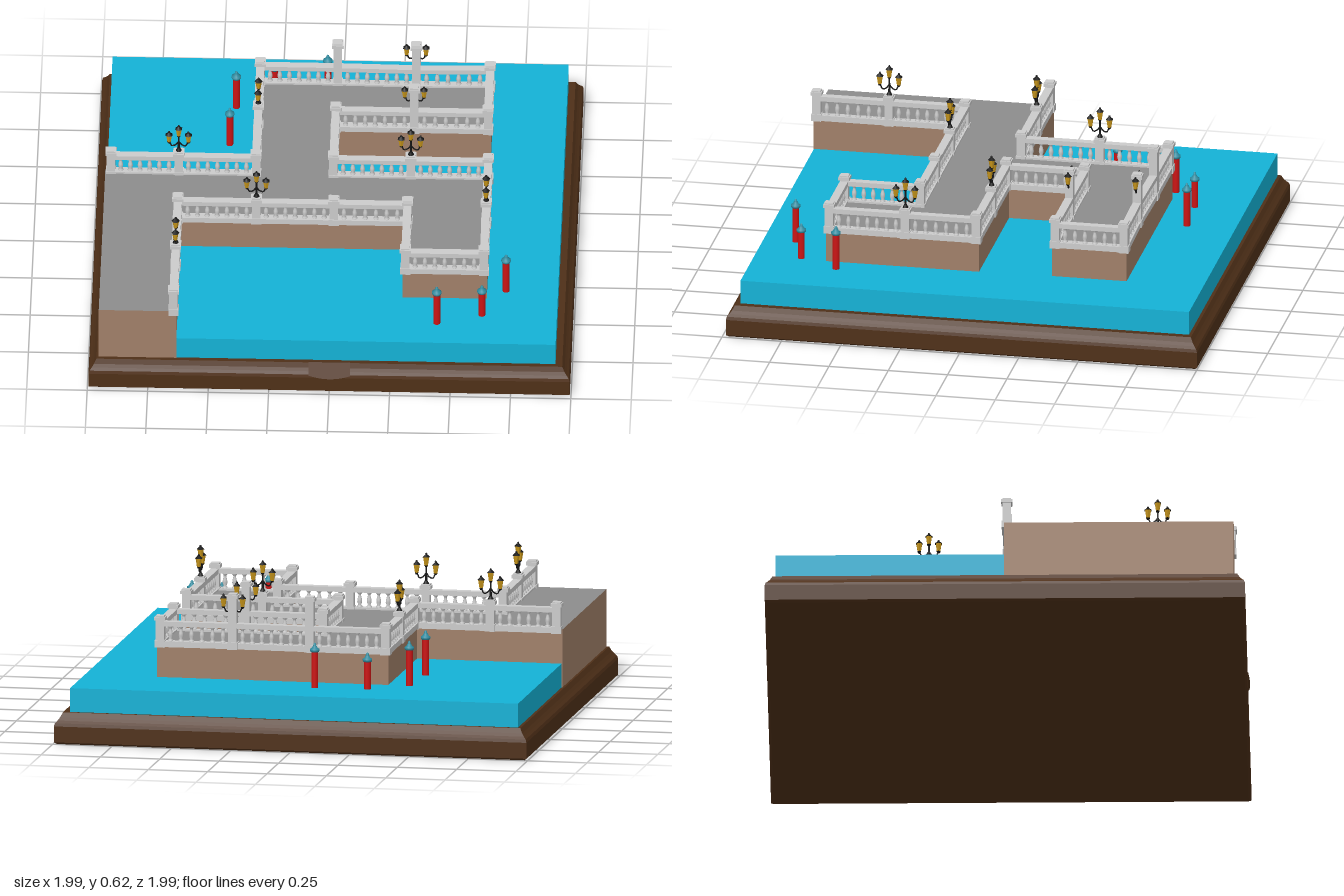
import * as THREE from 'three';

const mat = (color, opts = {}) => new THREE.MeshStandardMaterial({ color, ...opts });
const V = (x, y) => new THREE.Vector2(x, y);

export function createModel() {
  const model = new THREE.Group();
  const stone = mat(0xcccccc);
  const wood = mat(0x4f3018, { flatShading: true });
  const water = mat(0x14b2d6);
  const paving = mat(0x8c8c8c);
  const wall = mat(0xa08069);
  const iron = mat(0x151515);
  const gold = mat(0xc8961a, { flatShading: true });
  const red = mat(0xcc1414);
  const teal = mat(0x2f8ca0);

  const add = (parent, name, geometry, material, x = 0, y = 0, z = 0) => {
    const m = new THREE.Mesh(geometry, material);
    m.name = name;
    m.position.set(x, y, z);
    parent.add(m);
    return m;
  };
  const group = (name, parent = model) => {
    const g = new THREE.Group();
    g.name = name;
    parent.add(g);
    return g;
  };

  // Moulded square plinth: a four-sided lathe
  const profile = [[0, 0], [0.985, 0], [0.995, 0.008], [0.995, 0.075], [0.991, 0.088], [0.982, 0.098],
    [0.973, 0.11], [0.968, 0.12], [0.963, 0.13], [0, 0.13]].map(([r, y]) => V(r * Math.SQRT2, y));
  const plinth = add(model, 'plinth', new THREE.LatheGeometry(profile, 4, Math.PI / 4), wood, 0, 0, -0.0075);
  plinth.scale.z = 0.9975;

  // Blank plate leaning on the front moulding
  const plate = new THREE.Shape();
  plate.moveTo(-0.086, 0.073);
  plate.lineTo(-0.086, 0.016);
  plate.quadraticCurveTo(0, -0.012, 0.086, 0.016);
  plate.lineTo(0.086, 0.073);
  plate.closePath();
  add(model, 'frontPlate', new THREE.ExtrudeGeometry(plate, { depth: 0.012, bevelEnabled: false }),
    wood, 0, 0.067, 0.984).rotation.x = -0.5;

  // Water slab
  add(model, 'water', new THREE.BoxGeometry(1.886, 0.1, 1.89), water, -0.008, 0.18, -0.01);

  // Raised quay with paved top and earth-coloured walls
  const outline = [[-0.954, -0.012], [-0.342, -0.012], [-0.342, -0.632], [0.632, -0.632], [0.632, -0.318],
    [0.002, -0.318], [0.002, -0.012], [0.642, -0.012], [0.642, 0.632], [0.293, 0.632], [0.293, 0.312],
    [-0.633, 0.312], [-0.633, 0.938], [-0.954, 0.938]];
  const quay = new THREE.ExtrudeGeometry(new THREE.Shape(outline.map(([x, z]) => V(x, -z))),
    { depth: 0.243, bevelEnabled: false });
  quay.rotateX(-Math.PI / 2);
  add(model, 'quay', quay, [paving, wall], 0, 0.13, 0);

  // Balustrade: one path of posts, some tall, some carrying lamps along x or z
  const posts = [[-0.93, 0], [-0.65, 0, 'x'], [-0.33, 0], [-0.33, -0.33, 'z'], [-0.33, -0.62],
    [-0.01, -0.62, '', true], [0.315, -0.615, 'x', true], [0.62, -0.62], [0.62, -0.33], [0.315, -0.33, 'x', true],
    [-0.01, -0.33], [-0.01, 0], [0.31, 0, 'x'], [0.63, 0], [0.63, 0.3, 'z'], [0.63, 0.62], [0.305, 0.62],
    [0.305, 0.3], [0, 0.3], [-0.32, 0.3, 'x'], [-0.645, 0.3], [-0.645, 0.62, 'z'], [-0.645, 0.925]];
  const baluster = new THREE.LatheGeometry([[0.011, 0], [0.011, 0.006], [0.006, 0.011], [0.0105, 0.024],
    [0.009, 0.036], [0.0055, 0.05], [0.0065, 0.056], [0.011, 0.06], [0.011, 0.066]].map(p => V(...p)), 8);

  const balustrade = group('balustrade');
  for (let i = 0; i < posts.length - 1; i++) {
    const [x0, z0] = posts[i], [x1, z1] = posts[i + 1];
    const length = Math.hypot(x1 - x0, z1 - z0);
    const section = group('balustradeSection', balustrade);
    section.position.set((x0 + x1) / 2, 0, (z0 + z1) / 2);
    section.rotation.y = -Math.atan2(z1 - z0, x1 - x0);
    add(section, 'bottomRail', new THREE.BoxGeometry(length, 0.024, 0.034), stone, 0, 0.369, 0);
    add(section, 'topRail', new THREE.BoxGeometry(length, 0.02, 0.034), stone, 0, 0.454, 0);
    const count = Math.round((length - 0.04) / 0.041);
    const step = (length - 0.04) / count;
    for (let k = 0; k < count; k++) {
      add(section, 'baluster', baluster, stone, (k + 0.5 - count / 2) * step, 0.38, 0);
    }
  }

  // Six-sided lantern with a glowing body, iron base, roof and finial
  const body = new THREE.CylinderGeometry(0.0135, 0.008, 0.034, 6);
  const roof = new THREE.CylinderGeometry(0.004, 0.0165, 0.012, 6);
  const cup = new THREE.CylinderGeometry(0.009, 0.004, 0.008, 6);
  const tip = new THREE.SphereGeometry(0.0045, 8, 6);
  const lantern = (parent, x, y) => {
    const g = group('lantern', parent);
    g.position.set(x, y, 0);
    add(g, 'lanternCup', cup, iron, 0, 0.004, 0);
    add(g, 'lanternGlass', body, gold, 0, 0.025, 0);
    add(g, 'lanternRoof', roof, iron, 0, 0.048, 0);
    add(g, 'lanternTip', tip, iron, 0, 0.056, 0);
  };
  // Curved arm swinging out and up from the stem
  const arm = new THREE.TubeGeometry(new THREE.CatmullRomCurve3([[0, 0.535], [0.012, 0.518], [0.028, 0.512],
    [0.037, 0.528]].map(([x, y]) => new THREE.Vector3(x, y, 0))), 10, 0.003, 6);

  for (const [x, z, axis, tall] of posts) {
    const top = tall ? 0.588 : 0.487;
    const post = group('post', balustrade);
    post.position.set(x, 0, z);
    add(post, 'postFoot', new THREE.BoxGeometry(0.042, 0.03, 0.042), stone, 0, 0.37, 0);
    add(post, 'postShaft', new THREE.BoxGeometry(0.035, top - 0.37, 0.035), stone, 0, (top + 0.355) / 2, 0);
    add(post, 'postCap', new THREE.BoxGeometry(0.046, 0.014, 0.046), stone, 0, top - 0.012, 0);
    add(post, 'postCapTop', new THREE.BoxGeometry(0.036, 0.006, 0.036), stone, 0, top - 0.002, 0);
    if (!axis) continue;

    const lamp = group('streetLamp', post);
    if (axis === 'z') lamp.rotation.y = Math.PI / 2;
    for (const side of [-1, 1]) {
      add(lamp, 'lampArm', arm, iron).rotation.y = side < 0 ? Math.PI : 0;
      lantern(lamp, side * 0.04, 0.526);
    }
    if (!tall) {
      add(lamp, 'lampFoot', new THREE.CylinderGeometry(0.006, 0.013, 0.014, 10), iron, 0, 0.494, 0);
      add(lamp, 'lampStem', new THREE.CylinderGeometry(0.0035, 0.005, 0.075, 8), iron, 0, 0.525, 0);
      lantern(lamp, 0, 0.558);
    }
  }

  // Red mooring poles with pointed teal caps
  const cap = new THREE.LatheGeometry([[0, 0], [0.017, 0], [0.02, 0.005], [0.02, 0.012], [0.013, 0.016],
    [0.009, 0.024], [0.006, 0.028], [0.006, 0.033], [0, 0.04]].map(p => V(...p)), 12);
  const moorings = [[0.44, 0.8, 0.42], [0.625, 0.74, 0.385], [0.72, 0.575, 0.42], [-0.43, -0.63, 0.42],
    [-0.275, -0.74, 0.385], [-0.055, -0.75, 0.42], [-0.45, -0.38, 0.42]];
  for (const [x, z, top] of moorings) {
    const pole = group('mooringPole');
    pole.position.set(x, 0, z);
    const height = top - 0.035 - 0.2;
    add(pole, 'poleShaft', new THREE.CylinderGeometry(0.0145, 0.0145, height, 12), red, 0, 0.2 + height / 2, 0);
    add(pole, 'poleCap', cap, teal, 0, top - 0.04, 0);
  }

  return model;
}
